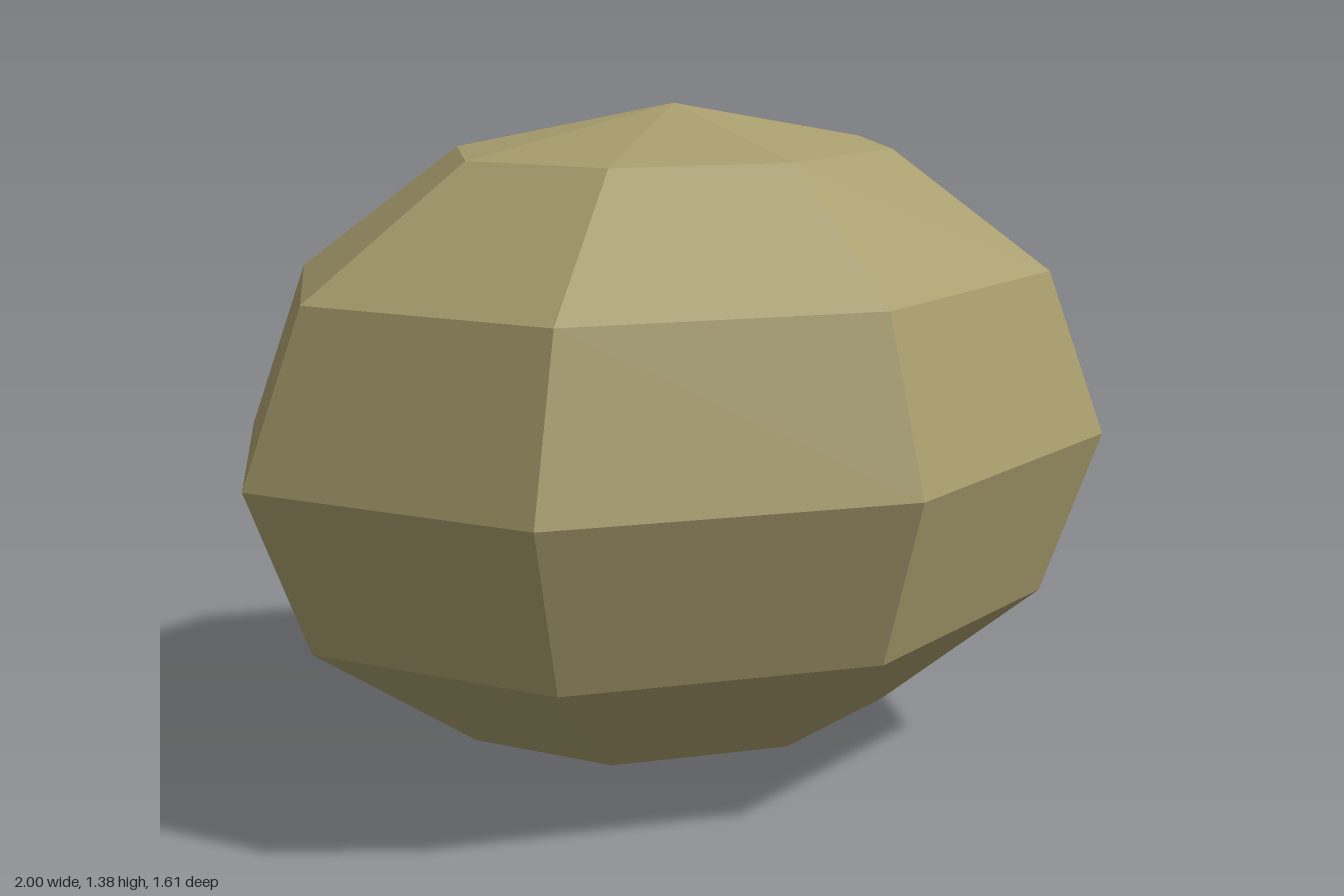
import * as THREE from 'three';

export function createModel() {
  const group = new THREE.Group();
  group.name = 'boulder';

  const stone = new THREE.MeshStandardMaterial({ color: 0xa99e6e, flatShading: true });
  stone.name = 'olive stone';

  // Faceted, squashed ball: 8 sides around, 6 bands from pole to pole
  const halfX = 1, halfY = 0.69, halfZ = 0.805;
  const geometry = new THREE.SphereGeometry(1, 8, 6);
  geometry.scale(halfX, halfY, halfZ);
  geometry.translate(0, halfY, 0);

  const rock = new THREE.Mesh(geometry, stone);
  rock.name = 'rock';
  group.add(rock);
  return group;
}
